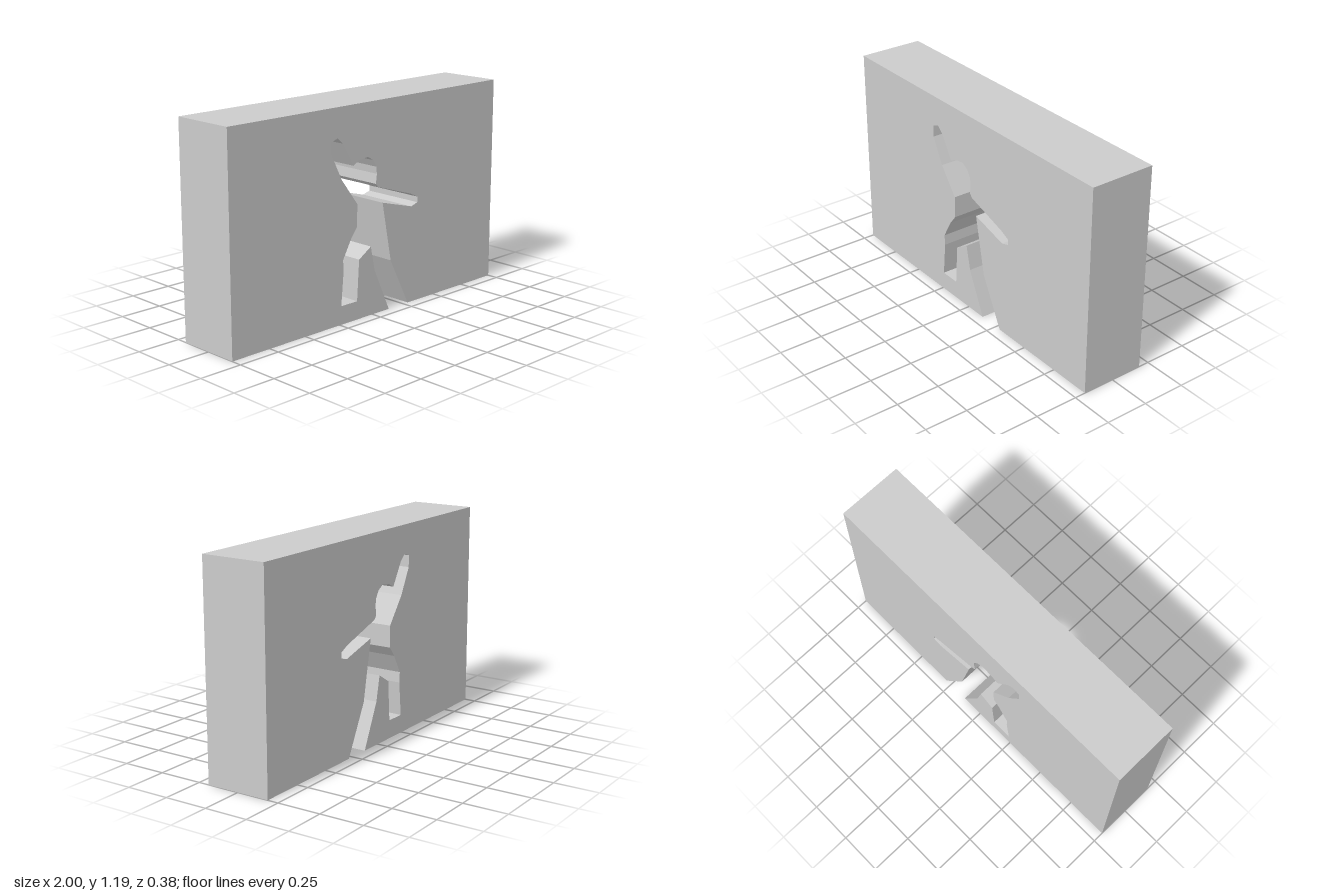
import * as THREE from 'three';

const WIDTH = 2, HEIGHT = 1.19, DEPTH = 0.375;

// Edge of the cut-out, walked from one foot around the figure to the other
const footToKnee = [[0.13, 0], [0.015, 0.25], [-0.015, 0.392]];
const raisedLeg = [[-0.105, 0.337], [-0.12, 0.105], [-0.24, 0.105], [-0.222, 0.3], [-0.226, 0.36], [-0.165, 0.468]];
const waist = [[-0.12, 0.525], [-0.12, 0.65]];
const raisedArm = [[-0.235, 0.8], [-0.309, 0.945], [-0.309, 1.012], [-0.264, 1.027], [-0.226, 0.993], [-0.15, 0.863]];
const head = [[-0.107, 0.885], [-0.04, 0.894], [0, 0.87], [0.024, 0.83], [0.029, 0.79], [0.022, 0.735], [0.04, 0.715]];
const loweredArm = [[0.3, 0.632], [0.355, 0.605], [0.355, 0.573], [0.305, 0.558], [0.075, 0.621]];
const standingLeg = [[0.142, 0.28], [0.285, 0]];

export function createModel() {
  const group = new THREE.Group();
  group.name = 'wallWithFigureCutout';

  // The cut-out is open at the floor, so wall and figure share one outline
  const outline = [
    [WIDTH / 2, 0], [WIDTH / 2, HEIGHT], [-WIDTH / 2, HEIGHT], [-WIDTH / 2, 0],
    ...footToKnee, ...raisedLeg, ...waist, ...raisedArm, ...head, ...loweredArm, ...standingLeg,
  ];
  const shape = new THREE.Shape(outline.map(([x, y]) => new THREE.Vector2(x, y)));
  const geometry = new THREE.ExtrudeGeometry(shape, { depth: DEPTH, bevelEnabled: false });
  geometry.translate(0, 0, -DEPTH / 2);

  const wall = new THREE.Mesh(geometry, new THREE.MeshStandardMaterial({ color: 0xcccccc, flatShading: true }));
  wall.name = 'wall';
  group.add(wall);
  return group;
}
